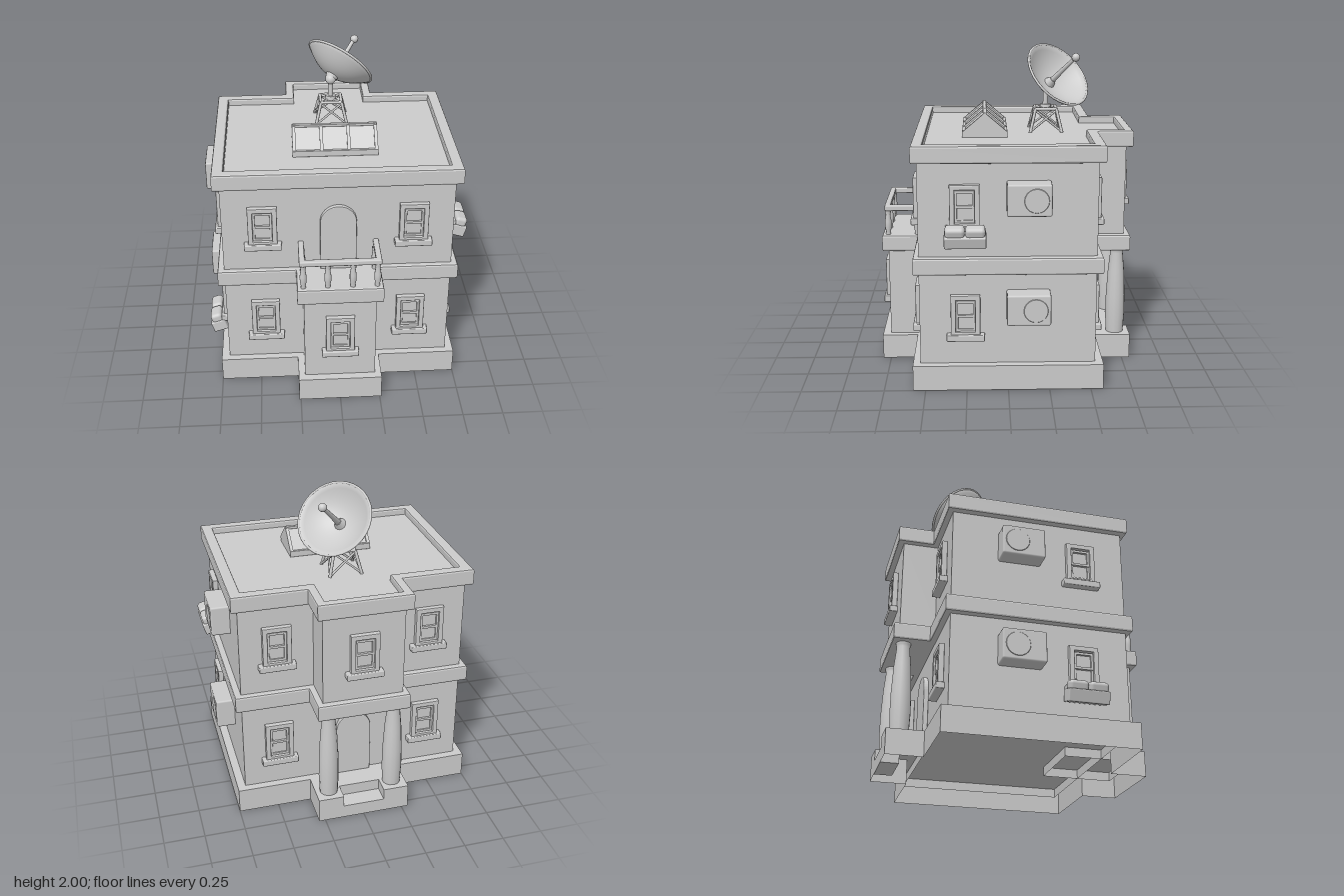
import * as THREE from 'three';
import { RoundedBoxGeometry } from 'three/addons/geometries/RoundedBoxGeometry.js';

const grey = new THREE.MeshStandardMaterial({ color: 0xcccccc });
const greyDouble = new THREE.MeshStandardMaterial({ color: 0xcccccc, side: THREE.DoubleSide });
const V = (x, y, z) => new THREE.Vector3(x, y, z);

function add(parent, name, geometry, x = 0, y = 0, z = 0, material = grey) {
  const mesh = new THREE.Mesh(geometry, material);
  mesh.name = name;
  mesh.position.set(x, y, z);
  parent.add(mesh);
  return mesh;
}
function group(parent, name, x = 0, y = 0, z = 0, turn = 0) {
  const g = new THREE.Group();
  g.name = name;
  g.position.set(x, y, z);
  g.rotation.y = turn;
  parent.add(g);
  return g;
}
const box = (w, h, d, r = 0.006) => new RoundedBoxGeometry(w, h, d, 1, r);

// Plan outlines are lists of [x, z]; shapes use y = -z
const toShape = (pts) => new THREE.Shape(pts.map(([x, z]) => new THREE.Vector2(x, -z)));
const rect = (x0, x1, z0, z1) => [[x0, z0], [x1, z0], [x1, z1], [x0, z1]];
const backBay = (w, z, bw, bz) => [[w, z], [w, -z], [bw, -z], [bw, -bz], [-bw, -bz], [-bw, -z], [-w, -z], [-w, z]];
const frontBay = (w, z) => [[-w, z], [w, z]];

function extrude(shape, height, bevel) {
  return new THREE.ExtrudeGeometry(shape, {
    depth: height - 2 * bevel, bevelEnabled: bevel > 0, bevelThickness: bevel,
    bevelSize: bevel, bevelOffset: -bevel, bevelSegments: 2, curveSegments: 10,
  }).translate(0, 0, bevel);
}
const slab = (shape, y0, y1, bevel = 0.012) =>
  extrude(shape, y1 - y0, bevel).rotateX(-Math.PI / 2).translate(0, y0, 0);

// Open vertical walls following a closed plan
function walls(pts, y0, y1) {
  const pos = [];
  pts.forEach(([x, z], i) => {
    const [u, w] = pts[(i + 1) % pts.length];
    pos.push(x, y0, z, x, y1, z, u, y1, w, x, y0, z, u, y1, w, u, y0, w);
  });
  const g = new THREE.BufferGeometry();
  g.setAttribute('position', new THREE.Float32BufferAttribute(pos, 3));
  g.computeVertexNormals();
  return g;
}

// Round bar between two points
function bar(parent, name, a, b, r0, r1 = r0, sides = 8) {
  const d = b.clone().sub(a);
  const m = add(parent, name, new THREE.CylinderGeometry(r1, r0, d.length(), sides));
  m.position.copy(a).addScaledVector(d, 0.5);
  m.quaternion.setFromUnitVectors(V(0, 1, 0), d.normalize());
  return m;
}

const flatRect = (x0, x1, y0, y1, T = THREE.Shape) =>
  new T([[x0, y0], [x1, y0], [x1, y1], [x0, y1]].map((p) => new THREE.Vector2(...p)));

// Sash window; origin at the bottom of its sill, facing +z
function sashWindow(parent, x, y, z, turn = 0) {
  const g = group(parent, 'window', x, y, z, turn);
  const frame = flatRect(-0.088, 0.088, 0.035, 0.285);
  frame.holes.push(flatRect(-0.058, 0.058, 0.055, 0.255, THREE.Path));
  add(g, 'windowFrame', extrude(frame, 0.034, 0.005));
  add(g, 'windowPane', new THREE.BoxGeometry(0.13, 0.21, 0.012), 0, 0.155, 0.004);
  for (const [y0, y1, d] of [[0.145, 0.25, 0.024], [0.055, 0.16, 0.018]]) {
    const sash = flatRect(-0.058, 0.058, y0, y1);
    sash.holes.push(flatRect(-0.044, 0.044, y0 + 0.016, y1 - 0.016, THREE.Path));
    add(g, 'windowSash', extrude(sash, d, 0.003));
  }
  add(g, 'windowSill', box(0.228, 0.04, 0.055), 0, 0.02, 0.022);
}

const arch = (w, top, T) => {
  const s = new T();
  s.moveTo(-w, 0);
  s.lineTo(w, 0);
  s.lineTo(w, top - w);
  s.absarc(0, top - w, w, 0, Math.PI, false);
  s.lineTo(-w, 0);
  return s;
};

// Arched door; origin at the threshold, facing +z
function archedDoor(parent, y, z, turn) {
  const g = group(parent, 'door', 0, y, z, turn);
  const frame = arch(0.11, 0.44, THREE.Shape);
  frame.holes.push(arch(0.083, 0.413, THREE.Path));
  add(g, 'doorFrame', extrude(frame, 0.03, 0.005));
  add(g, 'doorLeaf', extrude(arch(0.085, 0.415, THREE.Shape), 0.01, 0));
  add(g, 'fanlightBar', box(0.17, 0.016, 0.02, 0.003), 0, 0.325, 0.01);
  add(g, 'doorMullion', box(0.016, 0.325, 0.02, 0.003), 0, 0.1625, 0.01);
  for (const s of [-1, 1]) {
    add(g, 'doorStile', box(0.016, 0.325, 0.02, 0.003), s * 0.075, 0.1625, 0.01);
    for (const [py, h] of [[0.07, 0.09], [0.175, 0.08], [0.27, 0.07]])
      add(g, 'doorPanel', box(0.046, h, 0.016, 0.004), s * 0.037, py, 0.009);
  }
}

export function createModel() {
  const model = new THREE.Group();
  model.name = 'house';

  // Plinth, open underneath, with a notch for the porch step
  const plinth = [...frontBay(0.26, 0.8), [0.26, 0.575], [0.75, 0.575], [0.75, -0.575], [0.29, -0.575],
    [0.29, -0.8], [0.13, -0.8], [0.13, -0.69], [-0.13, -0.69], [-0.13, -0.8], [-0.29, -0.8],
    [-0.29, -0.575], [-0.75, -0.575], [-0.75, 0.575], [-0.26, 0.575]];
  add(model, 'plinthSides', walls(plinth, 0, 0.157), 0, 0, 0, greyDouble);
  add(model, 'plinthTop', new THREE.ShapeGeometry(toShape(plinth)).rotateX(-Math.PI / 2), 0, 0.157, 0, greyDouble);
  add(model, 'porchStep', new THREE.BoxGeometry(0.26, 0.085, 0.11), 0, 0.0425, -0.745);

  // Walls
  add(model, 'mainWalls', walls(rect(-0.7, 0.7, -0.527, 0.53), 0.1, 1.41), 0, 0, 0, greyDouble);
  add(model, 'frontBayWalls', walls(rect(-0.22, 0.22, 0.3, 0.75), 0.1, 0.74), 0, 0, 0, greyDouble);
  add(model, 'backBayWalls', walls(rect(-0.25, 0.25, -0.745, -0.5), 0.8, 1.41), 0, 0, 0, greyDouble);

  // Floor band, roof parapet and roof deck
  const band = [...frontBay(0.26, 0.785), [0.26, 0.563], ...backBay(0.74, 0.563, 0.287, 0.783), [-0.26, 0.563]];
  add(model, 'floorBand', slab(toShape(band), 0.725, 0.83));
  const parapet = toShape(backBay(0.74, 0.563, 0.287, 0.783));
  const inner = backBay(0.67, 0.495, 0.232, 0.728);
  parapet.holes.push(new THREE.Path(inner.map(([x, z]) => new THREE.Vector2(x, -z))));
  add(model, 'parapet', slab(parapet, 1.395, 1.5));
  add(model, 'roofDeck', slab(toShape(backBay(0.7, 0.525, 0.25, 0.745)), 1.41, 1.456, 0));

  // Windows
  for (const s of [-1, 1]) {
    for (const y of [0.312, 0.985]) {
      sashWindow(model, s * 0.455, y, 0.53);
      sashWindow(model, s * 0.475, y, -0.527, Math.PI);
      sashWindow(model, s * 0.7, y, 0.255, s * Math.PI / 2);
    }
  }
  sashWindow(model, 0, 0.33, 0.75);
  sashWindow(model, 0, 0.985, -0.745, Math.PI);

  // Doors
  archedDoor(model, 0.83, 0.53, 0);
  archedDoor(model, 0.157, -0.527, Math.PI);

  // Porch columns
  const column = [[0.056, 0], [0.062, 0.12], [0.061, 0.25], [0.052, 0.42], [0.04, 0.54], [0.046, 0.555], [0.046, 0.57]];
  for (const s of [-1, 1])
    add(model, 'porchColumn', new THREE.LatheGeometry(column.map((p) => new THREE.Vector2(...p)), 14), s * 0.205, 0.157, -0.71);

  // Balcony railing
  const balcony = group(model, 'balcony');
  const baluster = [[0.016, 0], [0.015, 0.02], [0.021, 0.05], [0.021, 0.085], [0.014, 0.13], [0.018, 0.145], [0.018, 0.165]];
  const balusterGeometry = new THREE.LatheGeometry(baluster.map((p) => new THREE.Vector2(...p)), 10);
  add(balcony, 'frontRail', box(0.49, 0.035, 0.035, 0.008), 0, 1.003, 0.75);
  for (const s of [-1, 1]) {
    add(balcony, 'sideRail', box(0.035, 0.035, 0.24, 0.008), s * 0.228, 1.003, 0.647);
    for (const [x, z] of [[0.075, 0.747], [0.222, 0.747], [0.222, 0.565]])
      add(balcony, 'baluster', balusterGeometry, s * x, 0.828, z);
  }

  // Wall-mounted cooling units
  for (const s of [-1, 1]) {
    for (const y of [0.53, 1.195]) {
      const unit = group(model, 'coolingUnit', s * 0.7, y, -0.12, s * Math.PI / 2);
      add(unit, 'unitCase', box(0.26, 0.19, 0.125, 0.012), 0, 0, 0.0525);
      add(unit, 'fanCover', new THREE.CylinderGeometry(0.07, 0.075, 0.006, 20).rotateX(Math.PI / 2), s * 0.04, 0, 0.115);
    }
  }

  // Tilted window boxes with rounded plantings
  for (const [s, y] of [[1, 0.955], [-1, 0.275]]) {
    const planter = group(model, 'windowBox', s * 0.765, y, 0.252, s * Math.PI / 2);
    const tilted = group(planter, 'tiltedBox');
    tilted.rotation.x = 0.3;
    add(tilted, 'planterTrough', box(0.245, 0.075, 0.095, 0.008));
    for (const k of [-1, 1])
      add(tilted, 'planting', new RoundedBoxGeometry(0.115, 0.065, 0.075, 2, 0.022), k * 0.06, 0.055, 0);
  }

  // Gabled skylight: glazing with raised ribs
  const skylight = group(model, 'skylight', 0, 1.455, 0.133);
  const gable = (half, top, length) => extrude(new THREE.Shape([
    [-half, 0], [half, 0], [half, top - 0.12], [0, top], [-half, top - 0.12],
  ].map((p) => new THREE.Vector2(...p))), length, 0).translate(0, 0, -length / 2).rotateY(Math.PI / 2);
  add(skylight, 'skylightGlass', gable(0.132, 0.145, 0.51));
  for (const x of [-0.25, -0.083, 0.083, 0.25])
    add(skylight, 'skylightRib', gable(0.14, 0.155, 0.02), x);
  add(skylight, 'skylightRidge', box(0.52, 0.018, 0.024, 0.004), 0, 0.145, 0);
  for (const s of [-1, 1])
    add(skylight, 'skylightCurb', box(0.52, 0.04, 0.02, 0.004), 0, 0.02, s * 0.13);

  // Lattice mast for the dish
  const mast = group(model, 'dishMast', 0, 0, -0.255);
  const corner = (i, t) => {
    const h = THREE.MathUtils.lerp(0.1, 0.066, t), a = Math.PI / 4 + i * Math.PI / 2;
    return V(Math.SQRT2 * h * Math.cos(a), THREE.MathUtils.lerp(1.455, 1.6, t), Math.SQRT2 * h * Math.sin(a));
  };
  for (let i = 0; i < 4; i++) {
    bar(mast, 'mastLeg', corner(i, 0), corner(i, 1), 0.01);
    bar(mast, 'mastTopBar', corner(i, 1), corner(i + 1, 1), 0.01);
    bar(mast, 'mastBrace', corner(i, 0.05), corner(i + 1, 0.95), 0.007, 0.007, 6);
    bar(mast, 'mastBrace', corner(i + 1, 0.05), corner(i, 0.95), 0.007, 0.007, 6);
    bar(mast, 'mastSpoke', corner(i, 1), V(0, 1.6, 0), 0.008);
  }
  add(mast, 'poleFoot', new THREE.CylinderGeometry(0.032, 0.036, 0.025, 12), 0, 1.612, 0);
  bar(mast, 'pole', V(0, 1.6, 0), V(0, 1.74, 0), 0.017, 0.015, 12);
  add(mast, 'poleJoint', new THREE.SphereGeometry(0.034, 14, 10), 0, 1.735, 0);

  // Tilted dish, built with its axis along y
  const dish = group(model, 'dish', 0.067, 1.82, -0.33);
  dish.quaternion.setFromUnitVectors(V(0, 1, 0), V(0.535, 0.64, -0.548).normalize());
  const R = 0.233, depth = 0.11, profile = [];
  for (let i = 0; i <= 10; i++) profile.push(new THREE.Vector2(R * i / 10, -depth * (1 - (i / 10) ** 2)));
  for (let i = 10; i >= 0; i--) profile.push(new THREE.Vector2((R - 0.014) * i / 10, 0.004 - (depth - 0.01) * (1 - (i / 10) ** 2)));
  add(dish, 'bowl', new THREE.LatheGeometry(profile, 32), 0, 0, 0, greyDouble);
  add(dish, 'bowlRim', new THREE.TorusGeometry(R - 0.006, 0.008, 8, 32).rotateX(Math.PI / 2));
  add(dish, 'bowlMount', new THREE.CylinderGeometry(0.045, 0.03, 0.04, 14), 0, -0.118, 0);
  add(dish, 'feedBase', new THREE.CylinderGeometry(0.02, 0.042, 0.05, 14), 0, -0.08, 0);
  bar(dish, 'feedRod', V(0, -0.08, 0), V(0, 0.18, 0), 0.018, 0.011, 12);
  add(dish, 'feedTip', new THREE.SphereGeometry(0.026, 14, 10), 0, 0.18, 0);

  return model;
}
